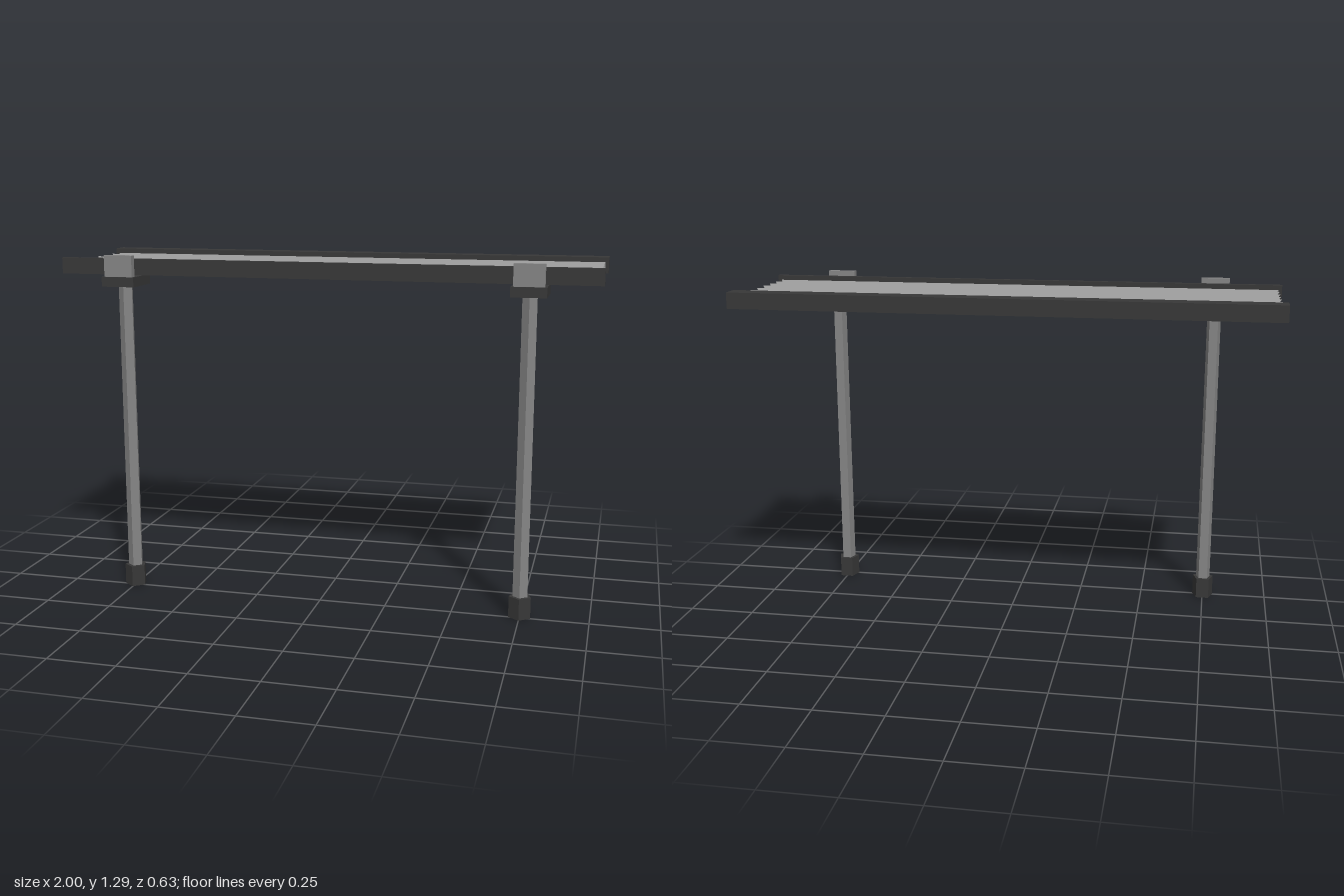
import * as THREE from 'three';

function makeMaterial(name, color) {
  const m = new THREE.MeshStandardMaterial({ color });
  m.name = name;
  return m;
}

// Corrugated sheet: a folded band swept along x, its ridges reaching further out than its valleys
function corrugatedSheet() {
  const folds = 14, back = -0.245, front = 0.231;
  const step = (front - back) / folds, thickness = 0.021;
  const top = [], bottom = [];
  for (let i = 0; i <= folds; i++) {
    const s = -front + i * step;
    const y = i % 2 ? 1.236 : 1.256;
    top.unshift(new THREE.Vector2(s, y));
    bottom.push(new THREE.Vector2(s, y - thickness));
  }
  const geo = new THREE.ExtrudeGeometry(new THREE.Shape([...bottom, ...top]), { depth: 1, bevelEnabled: false });
  const p = geo.attributes.position;
  for (let i = 0; i < p.count; i++) {
    const s = p.getX(i), fold = Math.round((s + front) / step);
    const half = fold % 2 ? 0.965 : 0.988;
    p.setXYZ(i, (p.getZ(i) * 2 - 1) * half, p.getY(i), -s);
  }
  geo.computeVertexNormals();
  return geo;
}

export function createModel() {
  const dark = makeMaterial('charcoal', 0x383838);
  const grey = makeMaterial('mid grey', 0x858585);
  const light = makeMaterial('sheet grey', 0x969696);
  dark.flatShading = grey.flatShading = light.flatShading = true;

  const model = new THREE.Group();
  model.name = 'canopy';

  const add = (parent, name, geo, mat, x, y, z) => {
    const mesh = new THREE.Mesh(geo, mat);
    mesh.name = name;
    mesh.position.set(x, y, z);
    parent.add(mesh);
  };

  // Roof
  add(model, 'roofSheet', corrugatedSheet(), light, 0, 0, 0);
  add(model, 'backBeam', new THREE.BoxGeometry(2, 0.06, 0.071), dark, 0, 1.243, -0.2785);
  add(model, 'frontRail', new THREE.BoxGeometry(2, 0.06, 0.02), dark, 0, 1.243, 0.239);

  // Five-sided posts with a foot, a bracket and an upright plate
  for (const side of [-1, 1]) {
    const post = new THREE.Group();
    post.name = side > 0 ? 'leftPost' : 'rightPost';
    post.position.x = 0.75 * side;
    add(post, 'foot', new THREE.CylinderGeometry(0.042, 0.042, 0.08, 5), dark, 0, 0.04, 0.238);
    add(post, 'shaft', new THREE.CylinderGeometry(0.0275, 0.0285, 1.12, 5), grey, 0, 0.62, 0.237);
    add(post, 'bracket', new THREE.BoxGeometry(0.125, 0.036, 0.157), dark, 0, 1.192, 0.2355);
    add(post, 'clampPlate', new THREE.BoxGeometry(0.108, 0.079, 0.026), grey, 0, 1.249, 0.294);
    model.add(post);
  }
  return model;
}
